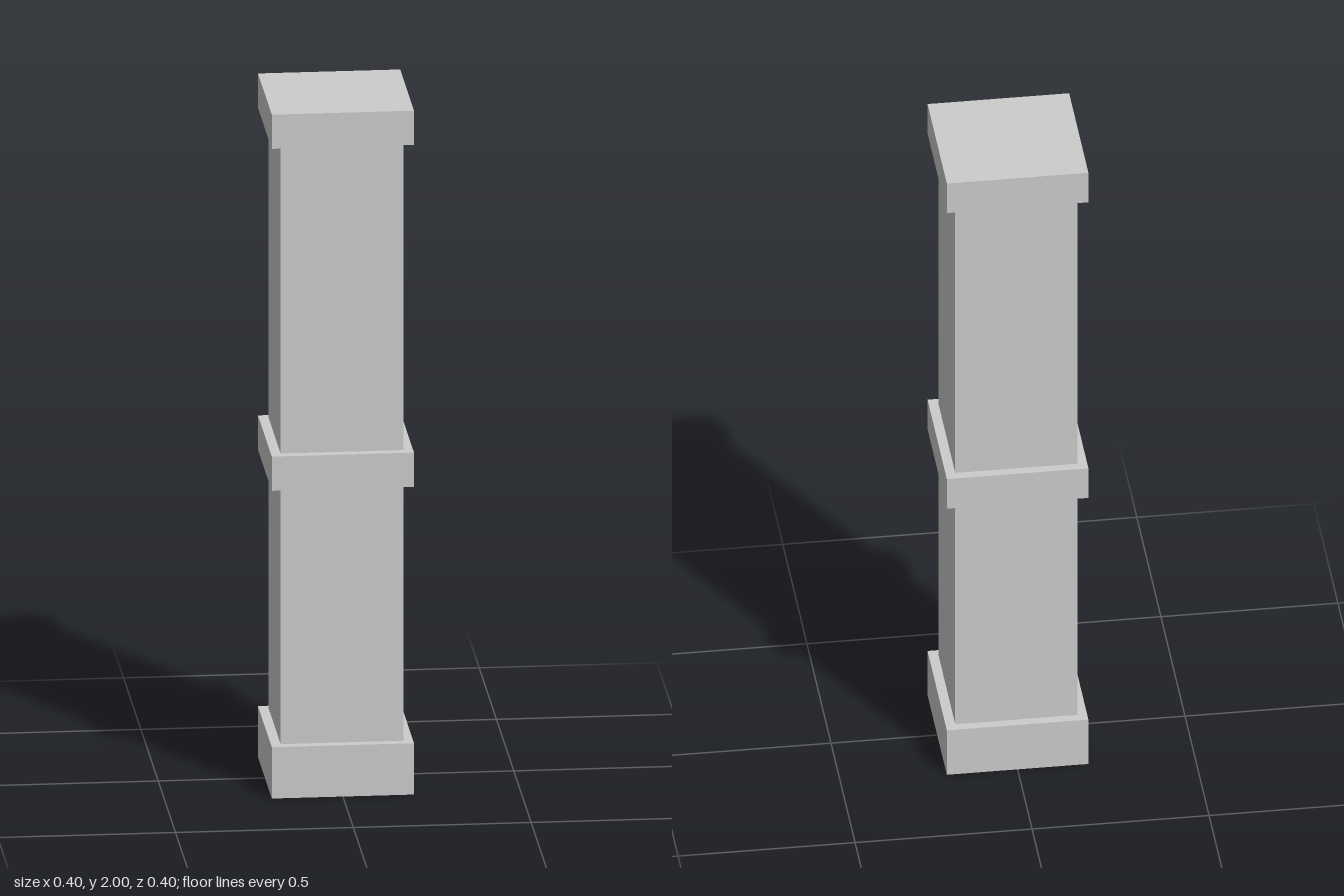
import * as THREE from 'three';

// Box with four sides and a top, open underneath
function openBox(width, height) {
  const geo = new THREE.BoxGeometry(width, height, width);
  const index = Array.from(geo.index.array);
  index.splice(18, 6); // drop the bottom face
  geo.setIndex(index);
  geo.clearGroups();
  return geo;
}

export function createModel() {
  const model = new THREE.Group();
  model.name = 'pillar';

  const stone = new THREE.MeshStandardMaterial({ color: 0xcccccc, side: THREE.DoubleSide });
  stone.name = 'grey stone';

  // Stacked blocks: name, width, bottom, top
  const blocks = [
    ['base', 0.4, 0, 0.15],
    ['lowerShaft', 0.345, 0.15, 0.9],
    ['middleBand', 0.4, 0.9, 1],
    ['upperShaft', 0.345, 1, 1.9],
    ['cap', 0.4, 1.9, 2],
  ];
  for (const [name, width, bottom, top] of blocks) {
    const mesh = new THREE.Mesh(openBox(width, top - bottom), stone);
    mesh.name = name;
    mesh.position.y = (bottom + top) / 2;
    model.add(mesh);
  }
  return model;
}
